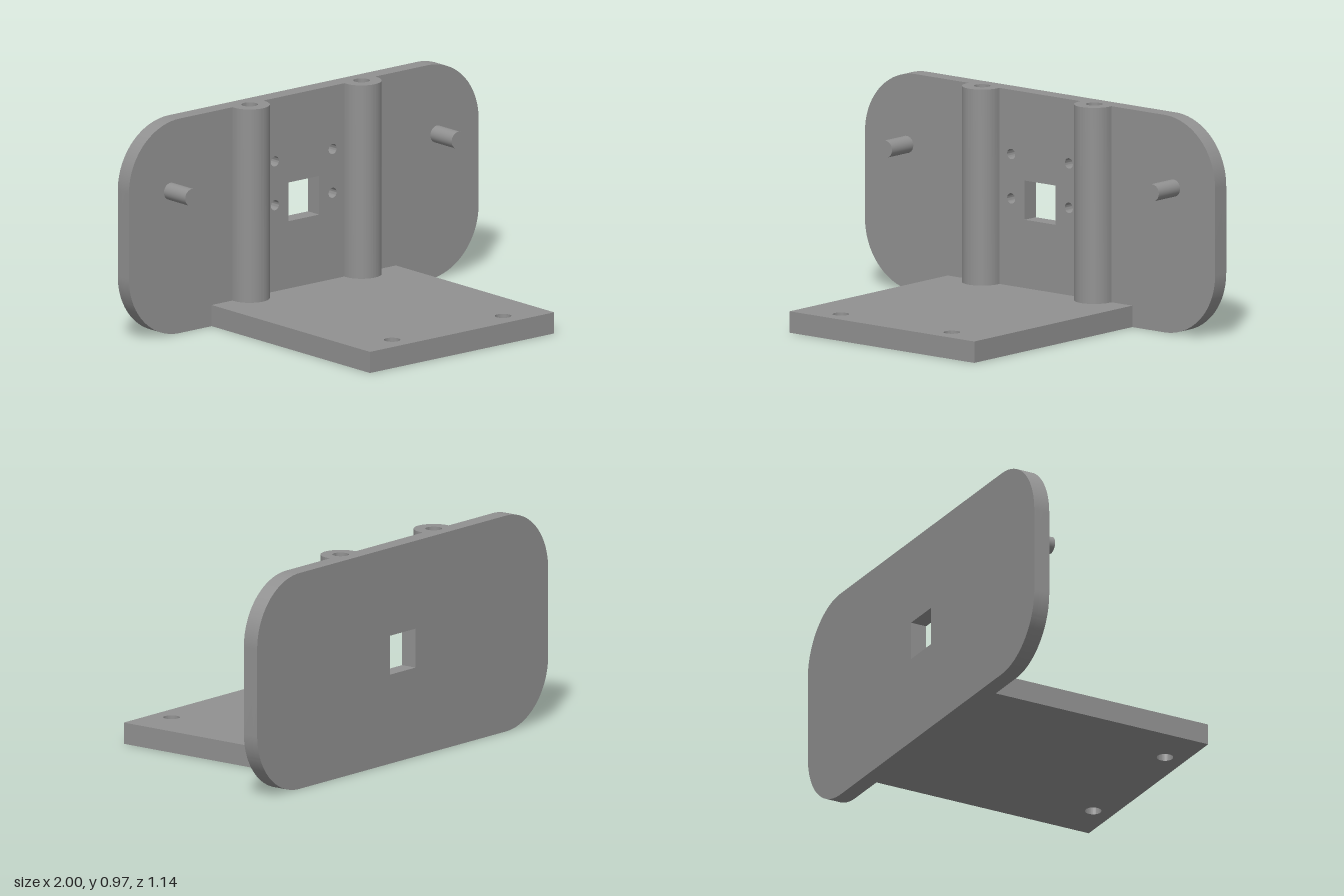
import * as THREE from 'three';
import { toCreasedNormals } from 'three/addons/utils/BufferGeometryUtils.js';

const BACK = -0.569, SPLIT = -0.543, FACE = -0.494; // plate depth levels
const H = 0.965, BASE = 0.095;
const COL_X = 0.32, COL_Z = -0.482, COL_R = 0.088;

const material = new THREE.MeshStandardMaterial({ color: 0x919191 });

function addMesh(parent, name, geometry) {
  const mesh = new THREE.Mesh(geometry, material);
  mesh.name = name;
  parent.add(mesh);
  return mesh;
}

function extrude(shape, depth) {
  const g = new THREE.ExtrudeGeometry(shape, { depth, bevelEnabled: false, curveSegments: 24 });
  return toCreasedNormals(g, 0.5);
}

// Extrude a plan shape (x, -z) upwards
const extrudeUp = (shape, height) => extrude(shape, height).rotateX(-Math.PI / 2);

const toVectors = (points) => points.map(([x, y]) => new THREE.Vector2(x, y));

function roundHole(shape, x, y, r) {
  shape.holes.push(new THREE.Path().absarc(x, y, r, 0, Math.PI * 2, true));
}

// Rounded plate outline with the square window; optionally slotted for the columns
function plateShape(slotted) {
  const r = 0.29, q = Math.PI / 2;
  const s = new THREE.Shape();
  s.moveTo(-1 + r, 0);
  s.lineTo(1 - r, 0);
  s.absarc(1 - r, r, r, -q, 0);
  s.absarc(1 - r, H - r, r, 0, q);
  if (slotted) {
    for (const c of [COL_X, -COL_X]) {
      s.lineTo(c + COL_R, H);
      s.lineTo(c + COL_R, BASE);
      s.lineTo(c - COL_R, BASE);
      s.lineTo(c - COL_R, H);
    }
  }
  s.absarc(-1 + r, H - r, r, q, 2 * q);
  s.absarc(-1 + r, r, r, 2 * q, 3 * q);
  s.holes.push(new THREE.Path(toVectors([[-0.088, 0.398], [-0.088, 0.572], [0.088, 0.572], [0.088, 0.398]])));
  return s;
}

export function createModel() {
  const model = new THREE.Group();
  model.name = 'mountingBracket';

  // Upright plate: a closed back layer and a front layer with blind screw holes
  const plate = new THREE.Group();
  plate.name = 'uprightPlate';
  model.add(plate);
  addMesh(plate, 'plateBackLayer', extrude(plateShape(false), SPLIT - BACK)).position.z = BACK;
  const front = plateShape(true);
  for (const x of [-0.165, 0.165]) {
    for (const y of [0.483, 0.68]) roundHole(front, x, y, 0.023);
  }
  addMesh(plate, 'plateFrontLayer', extrude(front, FACE - SPLIT)).position.z = SPLIT;

  // Base slab with two through holes near its front edge
  const base = new THREE.Shape(toVectors([[-0.527, BACK], [0.527, BACK], [0.527, -FACE], [-0.527, -FACE]]));
  for (const x of [-0.317, 0.317]) roundHole(base, x, -0.472, 0.036);
  addMesh(model, 'baseSlab', extrudeUp(base, BASE));

  for (const side of [1, -1]) {
    const label = side > 0 ? 'left' : 'right';

    // Half-round column, bored from the top and let into the plate
    const column = new THREE.Shape();
    column.moveTo(COL_R, -SPLIT);
    column.lineTo(-COL_R, -SPLIT);
    column.absarc(0, -COL_Z, COL_R, Math.PI, Math.PI * 2);
    column.closePath();
    roundHole(column, 0, -COL_Z, 0.036);
    addMesh(model, label + 'Column', extrudeUp(column, H - BASE)).position.set(side * COL_X, BASE, 0);

    // Locating peg
    const length = 0.143;
    const peg = new THREE.CylinderGeometry(0.038, 0.038, length, 32).rotateX(Math.PI / 2);
    addMesh(model, label + 'Peg', peg).position.set(side * 0.762, 0.647, FACE + length / 2);
  }
  return model;
}
